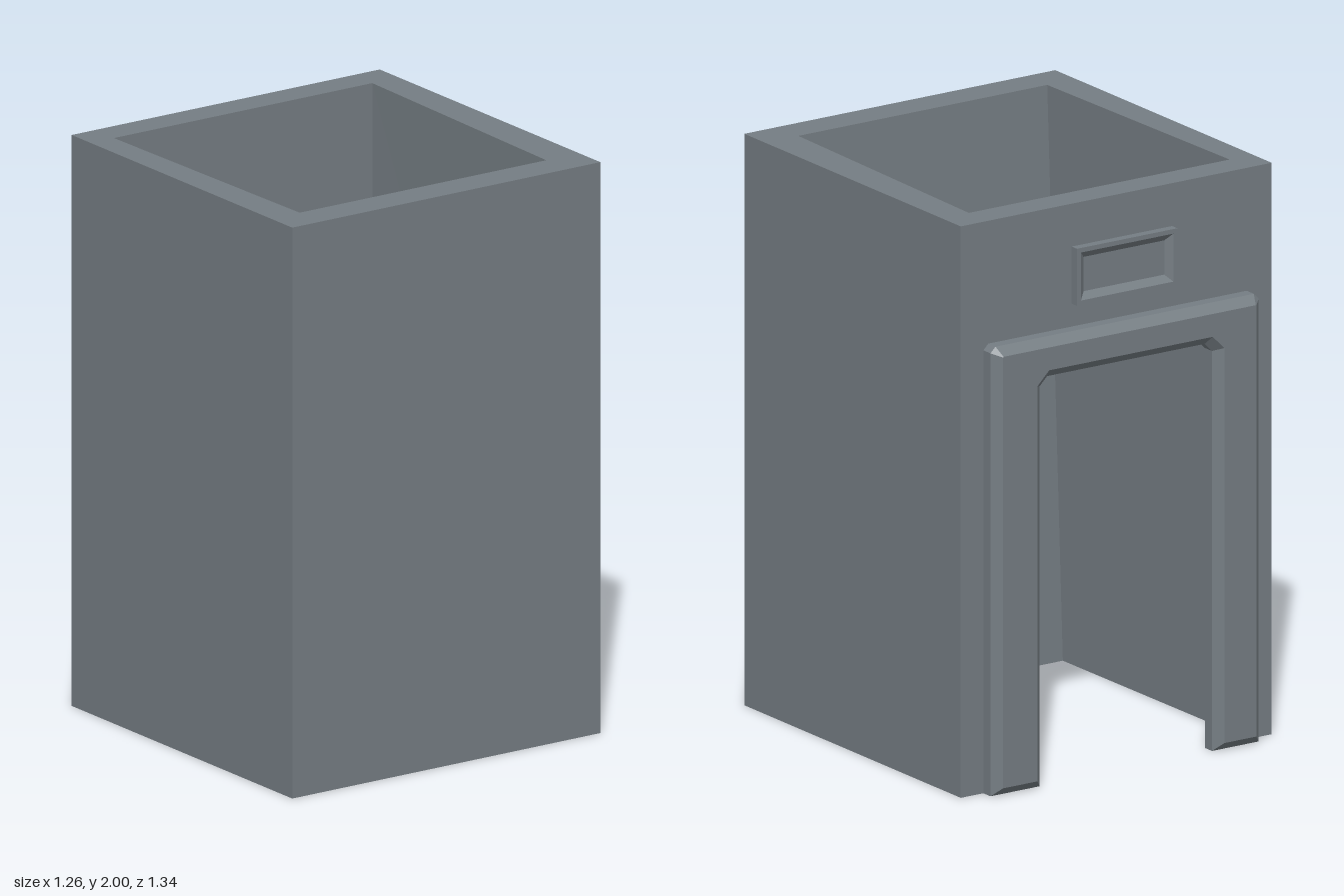
import * as THREE from 'three';

const W = 0.632, ZB = -0.6, ZF = 0.672, H = 2, DOOR = 1.43;

// Flat-shaded surface from quads; each is [a, b, c, d, outward direction]
function quadGeometry(quads) {
  const pos = [];
  for (const [a, b, c, d, out] of quads) {
    const [A, B, C, D] = [a, b, c, d].map(p => new THREE.Vector3(...p));
    const n = C.clone().sub(A).cross(D.clone().sub(B));
    const order = n.dot(new THREE.Vector3(...out)) > 0 ? [A, B, C, A, C, D] : [A, C, B, A, D, C];
    for (const p of order) pos.push(p.x, p.y, p.z);
  }
  const g = new THREE.BufferGeometry();
  g.setAttribute('position', new THREE.Float32BufferAttribute(pos, 3));
  g.computeVertexNormals();
  return g;
}

// Corners of the slightly tapering cavity: [left/right][front/back], at height y
function cavity(side, end, y) {
  const t = y / H, mix = (a, b) => a + (b - a) * t;
  if (end === 'front') return [side > 0 ? mix(0.51, 0.497) : mix(-0.53, -0.515), y, mix(0.48, 0.55)];
  return [side > 0 ? 0.523 : -0.537, y, end === 'back' ? -0.49 : ZB];
}

function shaftGeometry() {
  const q = [];
  const o = (s, z, y) => [s * W, y, z];
  // outer front, and the back wall above the doorway
  q.push([o(-1, ZF, 0), o(1, ZF, 0), o(1, ZF, H), o(-1, ZF, H), [0, 0, 1]]);
  q.push([o(-1, ZB, DOOR), o(1, ZB, DOOR), o(1, ZB, H), o(-1, ZB, H), [0, 0, -1]]);
  // inner front, inner back and underside of the lintel
  const c = cavity;
  q.push([c(-1, 'front', 0), c(1, 'front', 0), c(1, 'front', H), c(-1, 'front', H), [0, 0, -1]]);
  q.push([c(-1, 'back', DOOR), c(1, 'back', DOOR), c(1, 'back', H), c(-1, 'back', H), [0, 0, 1]]);
  q.push([c(-1, 'back', DOOR), c(1, 'back', DOOR), c(1, 'door', DOOR), c(-1, 'door', DOOR), [0, -1, 0]]);
  // top rim front and back, bottom rim front
  q.push([o(-1, ZF, H), o(1, ZF, H), c(1, 'front', H), c(-1, 'front', H), [0, 1, 0]]);
  q.push([o(-1, ZB, H), o(1, ZB, H), c(1, 'back', H), c(-1, 'back', H), [0, 1, 0]]);
  q.push([o(-1, ZF, 0), o(1, ZF, 0), c(1, 'front', 0), c(-1, 'front', 0), [0, -1, 0]]);
  for (const s of [-1, 1]) {
    // side wall: outside, inside, jamb, rims
    q.push([o(s, ZF, 0), o(s, ZB, 0), o(s, ZB, H), o(s, ZF, H), [s, 0, 0]]);
    q.push([c(s, 'front', 0), c(s, 'back', 0), c(s, 'back', H), c(s, 'front', H), [-s, 0, 0]]);
    q.push([c(s, 'back', 0), c(s, 'door', 0), c(s, 'door', DOOR), c(s, 'back', DOOR), [-s, 0, 0]]);
    q.push([o(s, ZB, 0), c(s, 'door', 0), c(s, 'door', DOOR), o(s, ZB, DOOR), [0, 0, -1]]);
    q.push([o(s, ZF, H), c(s, 'front', H), c(s, 'back', H), o(s, ZB, H), [0, 1, 0]]);
    q.push([o(s, ZF, 0), c(s, 'front', 0), c(s, 'door', 0), o(s, ZB, 0), [0, -1, 0]]);
  }
  return quadGeometry(q);
}

// Door surround: an upside-down U with bevelled face edges and clipped corners
function surroundGeometry() {
  const k = 0.02, m = 0.03, top = 1.57;
  const shape = new THREE.Shape([
    [-0.54, 0], [-0.34, 0], [-0.34, DOOR - m], [-0.34 + m, DOOR], [0.36 - m, DOOR], [0.36, DOOR - m],
    [0.36, 0], [0.55, 0], [0.55, top - k], [0.55 - k, top], [-0.54 + k, top], [-0.54, top - k],
  ].map(p => new THREE.Vector2(...p)));
  const g = new THREE.ExtrudeGeometry(shape, {
    depth: 0.042, bevelSize: 0.03, bevelThickness: 0.03, bevelOffset: -0.03, bevelSegments: 1,
  });
  // flatten the bevel that lies against the wall
  const p = g.attributes.position;
  for (let i = 0; i < p.count; i++) p.setZ(i, Math.max(0, p.getZ(i)));
  g.computeVertexNormals();
  return g.rotateY(Math.PI).translate(0, 0, ZB);
}

// Plaque above the door: raised rim sloping down to a sunken panel
function plaqueGeometry() {
  const rings = [[0, 0], [0, 0.031], [0.016, 0.031], [0.04, 0.012]];
  const corners = rings.map(([inset, d]) => {
    const x0 = -0.227 + inset, x1 = 0.181 - inset, y0 = 1.65 + inset, y1 = 1.85 - inset;
    return [[x0, y0, ZB - d], [x1, y0, ZB - d], [x1, y1, ZB - d], [x0, y1, ZB - d]];
  });
  const dirs = [[0, -1, 0], [1, 0, 0], [0, 1, 0], [-1, 0, 0]];
  const q = [];
  for (let r = 0; r < 3; r++) for (let i = 0; i < 4; i++) {
    const j = (i + 1) % 4;
    const out = r === 0 ? dirs[i] : [0, 0, -1];
    q.push([corners[r][i], corners[r][j], corners[r + 1][j], corners[r + 1][i], out]);
  }
  q.push([...corners[3], [0, 0, -1]]);
  return quadGeometry(q);
}

export function createModel() {
  const model = new THREE.Group();
  model.name = 'shaftWithDoorway';
  const stone = new THREE.MeshStandardMaterial({ color: 0x757d83 });
  stone.name = 'slate grey';
  const add = (name, geometry) => {
    const mesh = new THREE.Mesh(geometry, stone);
    mesh.name = name;
    model.add(mesh);
  };
  add('shaft', shaftGeometry());
  add('doorSurround', surroundGeometry());
  add('plaque', plaqueGeometry());
  return model;
}
